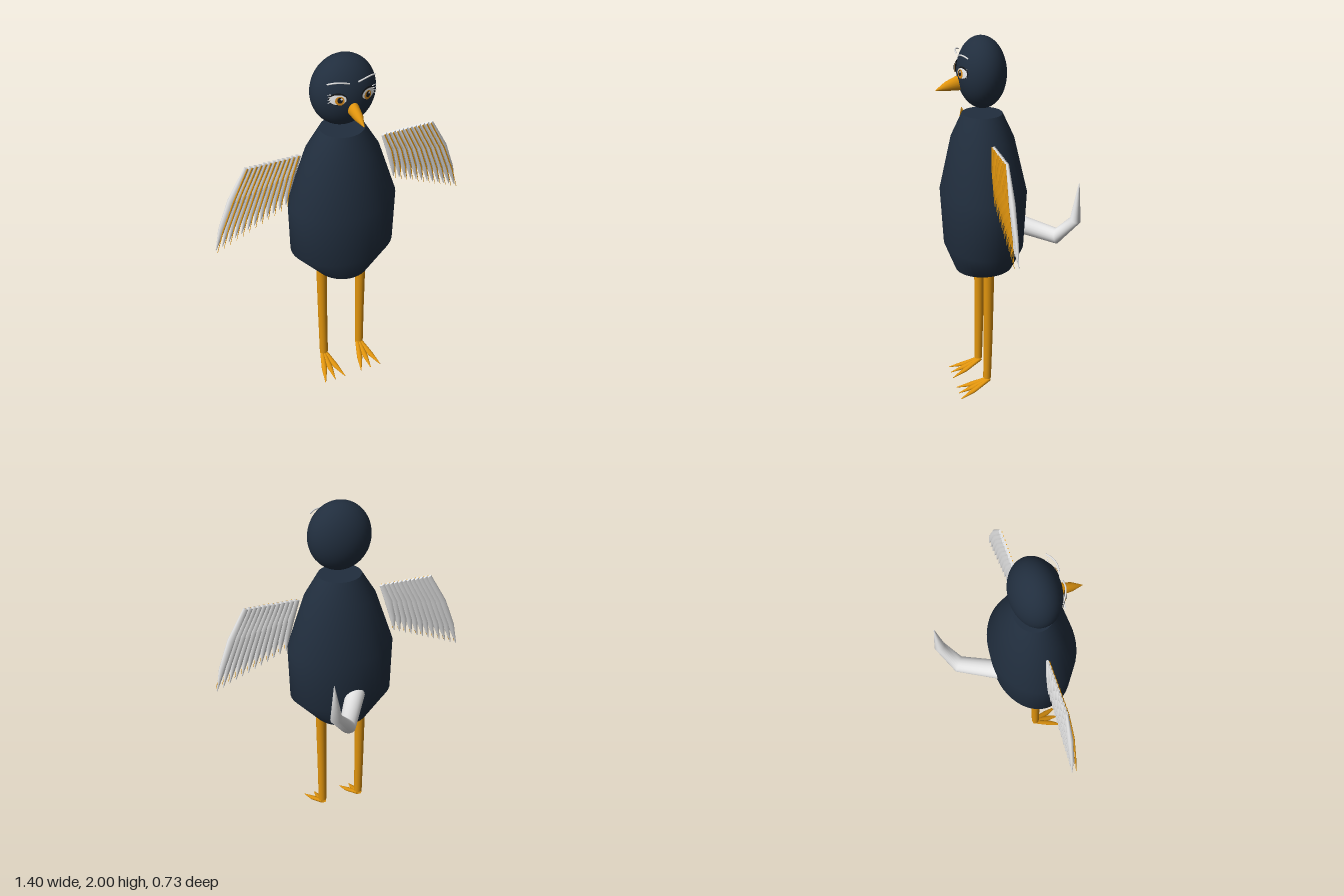
import * as THREE from 'three';

const mat = (name, color, side = THREE.FrontSide) => {
  const m = new THREE.MeshStandardMaterial({ color, side });
  m.name = name;
  return m;
};

// Skin elliptical rings along a path; each station is [x, y, z, radiusU, radiusV].
// U follows the ref direction, V lies square to it and to the path.
function loft(stations, ref, seg = 16) {
  const pts = stations.map(s => new THREE.Vector3(s[0], s[1], s[2]));
  const pos = [], idx = [], last = pts.length - 1;
  const ring = k => {
    const t = pts[Math.min(k + 1, last)].clone().sub(pts[Math.max(k - 1, 0)]).normalize();
    const u = ref.clone().addScaledVector(t, -ref.dot(t)).normalize();
    const v = t.clone().cross(u);
    for (let i = 0; i < seg; i++) {
      const a = i / seg * Math.PI * 2;
      const p = pts[k].clone()
        .addScaledVector(u, Math.cos(a) * stations[k][3])
        .addScaledVector(v, Math.sin(a) * stations[k][4]);
      pos.push(p.x, p.y, p.z);
    }
  };
  pts.forEach((_, k) => ring(k));
  for (let k = 0; k < last; k++) {
    for (let i = 0; i < seg; i++) {
      const a = k * seg + i, b = k * seg + (i + 1) % seg;
      idx.push(a, b, a + seg, b, b + seg, a + seg);
    }
  }
  // flat end caps with their own vertices
  for (const k of [0, last]) {
    const base = pos.length / 3;
    ring(k);
    for (let i = 1; i < seg - 1; i++) {
      if (k === 0) idx.push(base, base + i + 1, base + i);
      else idx.push(base, base + i, base + i + 1);
    }
  }
  const g = new THREE.BufferGeometry();
  g.setAttribute('position', new THREE.Float32BufferAttribute(pos, 3));
  g.setIndex(idx);
  g.computeVertexNormals();
  return g;
}

const HEAD = { y: 1.815, z: 0.127, rx: 0.168, ry: 0.185, rz: 0.127 };
const faceZ = (x, y) => HEAD.z + HEAD.rz * Math.sqrt(
  Math.max(0.05, 1 - (x / HEAD.rx) ** 2 - ((y - HEAD.y) / HEAD.ry) ** 2));

// Thin oval bent to the curve of the face
function facePlate(cx, cy, rx, ry, lift) {
  const g = new THREE.RingGeometry(0.001, 1, 28, 3);
  const p = g.attributes.position;
  for (let i = 0; i < p.count; i++) {
    const x = cx + p.getX(i) * rx, y = cy + p.getY(i) * ry;
    p.setXYZ(i, x, y, faceZ(x, y) + lift);
  }
  g.computeVertexNormals();
  return g;
}

export function createModel() {
  const model = new THREE.Group();
  model.name = 'bird';
  const navy = mat('navy', 0x212e3e);
  const white = mat('white', 0xe4e4e4);
  const orange = mat('orange', 0xe0940e);
  const eyeWhite = mat('eyeWhite', 0xf2f2f2, THREE.DoubleSide);
  const iris = mat('iris', 0xd98a1a, THREE.DoubleSide);
  const black = mat('black', 0x15181c, THREE.DoubleSide);
  const X = new THREE.Vector3(1, 0, 0), Z = new THREE.Vector3(0, 0, 1);

  const add = (parent, name, geo, material) => {
    const m = new THREE.Mesh(geo, material);
    m.name = name;
    parent.add(m);
    return m;
  };
  const group = name => {
    const g = new THREE.Group();
    g.name = name;
    model.add(g);
    return g;
  };

  // Body and head
  add(model, 'body', loft([
    [0, 0.73, 0.125, 0.153, 0.155], [0, 0.88, 0.127, 0.286, 0.212],
    [0, 1.18, 0.125, 0.292, 0.229], [0, 1.47, 0.126, 0.195, 0.165],
    [0, 1.6, 0.126, 0.117, 0.106]], X, 48), navy);
  const head = add(model, 'head', new THREE.SphereGeometry(1, 40, 28), navy);
  head.scale.set(HEAD.rx, HEAD.ry, HEAD.rz);
  head.position.set(0, HEAD.y, HEAD.z);

  // Beak, drooping to a point
  add(model, 'beak', loft([
    [0, 1.768, 0.22, 0.029, 0.04], [0, 1.763, 0.255, 0.028, 0.037],
    [0, 1.75, 0.31, 0.022, 0.024], [0, 1.732, 0.366, 0.002, 0.002]], X, 20), orange);

  // Tail, curling to the left and up
  add(model, 'tail', loft([
    [-0.02, 0.96, -0.06, 0.052, 0.05], [0.1, 0.908, -0.26, 0.046, 0.042],
    [0.187, 1.03, -0.335, 0.032, 0.03], [0.2, 1.24, -0.346, 0.002, 0.002]], X, 20), white);

  for (const s of [1, -1]) {
    const side = s > 0 ? 'left' : 'right';

    // Leg and three toes
    const leg = group(side + 'Leg');
    add(leg, 'shin', loft([
      [s * 0.114, 0.085, 0.138, 0.024, 0.022], [s * 0.116, 0.36, 0.13, 0.026, 0.025],
      [s * 0.118, 0.75, 0.124, 0.03, 0.03]], X), orange);
    for (const d of [-1, 0, 1]) {
      const x = s * 0.114;
      add(leg, 'toe', loft([
        [x + d * 0.006, 0.075, 0.125, 0.012, 0.011],
        [x + d * 0.035, 0.03, 0.225, 0.016, 0.012],
        [x + d * 0.062, 0.004, 0.302, 0.002, 0.002]], X, 10), orange);
    }

    // Wing: a row of overlapping feathers, each with a shaft on the front
    const wing = group(side + 'Wing');
    const N = 12;
    for (let i = 0; i < N; i++) {
      const f = i / (N - 1);
      const root = [0.238 + 0.27 * f, 1.49], tip = [0.31 + 0.388 * f, 1.2 - 0.168 * f];
      const along = (t, bow) => [
        s * (root[0] + (tip[0] - root[0]) * t + bow), root[1] + (tip[1] - root[1]) * t + bow];
      const [a, b, c, d] = [along(0, 0), along(0.4, 0.012), along(0.75, 0.01), along(1, 0)];
      add(wing, 'feather', loft([
        [...a, 0.122, 0.008, 0.016], [...b, 0.12, 0.016, 0.024],
        [...c, 0.116, 0.011, 0.018], [...d, 0.113, 0.002, 0.002]], Z, 10), white);
      add(wing, 'shaft', loft([
        [...a, 0.13, 0.004, 0.0035], [...b, 0.14, 0.004, 0.0035],
        [...c, 0.137, 0.004, 0.003], [...d, 0.136, 0.001, 0.001]], Z, 6), orange);
    }

    // Eye: layered thin plates
    const eye = group(side + 'Eye');
    add(eye, 'eyeRim', facePlate(s * 0.078, 1.834, 0.042, 0.031, 0.006), black);
    add(eye, 'eyeball', facePlate(s * 0.079, 1.832, 0.038, 0.026, 0.009), eyeWhite);
    add(eye, 'iris', facePlate(s * 0.073, 1.828, 0.021, 0.023, 0.012), iris);
    add(eye, 'pupil', facePlate(s * 0.073, 1.832, 0.012, 0.015, 0.014), black);
    add(eye, 'highlight', facePlate(s * 0.073 + 0.006, 1.839, 0.005, 0.005, 0.016), eyeWhite);

    // Lashes at the outer corner
    for (let i = 0; i < 4; i++) {
      const y = 1.822 + i * 0.011, z = faceZ(0.112, y) + 0.008;
      add(eye, 'lash', loft([
        [s * 0.108, y, z, 0.003, 0.003],
        [s * 0.128, y + (i - 1) * 0.004, z + 0.004, 0.001, 0.001]], Z, 6), white);
    }

    // Brow, a thin arc standing off the forehead
    const arc = new THREE.CatmullRomCurve3([
      [0.022, 1.908, 0.25], [0.06, 1.92, 0.25], [0.095, 1.921, 0.238], [0.125, 1.912, 0.22],
    ].map(p => new THREE.Vector3(s * p[0], p[1], p[2])));
    add(model, side + 'Brow', new THREE.TubeGeometry(arc, 16, 0.004, 6), white);
  }
  return model;
}
